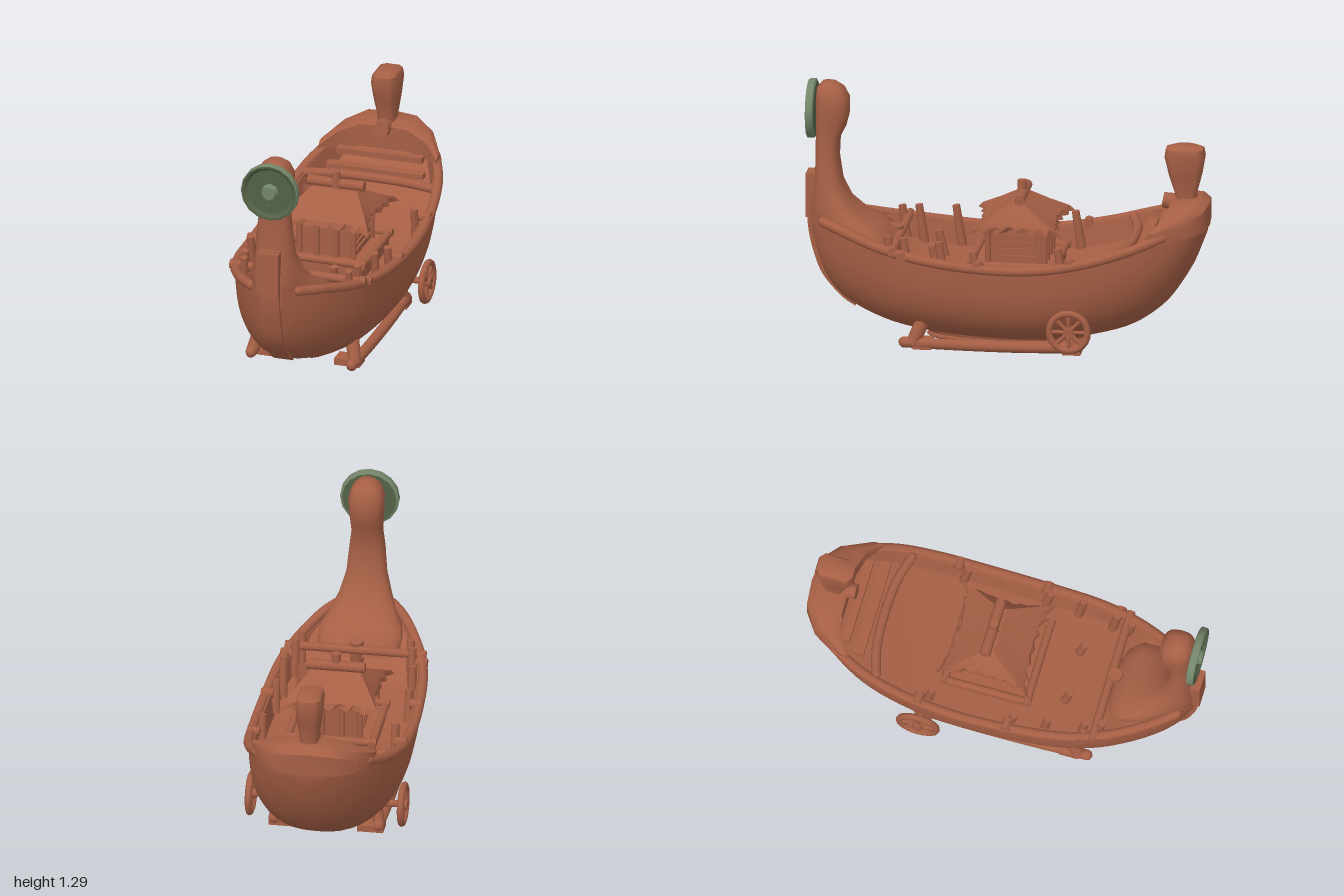
import * as THREE from 'three';
import { toCreasedNormals } from 'three/addons/utils/BufferGeometryUtils.js';

const V = (x, y, z) => new THREE.Vector3(x, y, z);

// Closed solid through equal-length rings of points, capped at both ends
function loft(rings, crease = 0.7) {
  const n = rings[0].length, pos = [], idx = [];
  rings.forEach(r => r.forEach(p => pos.push(p.x, p.y, p.z)));
  for (let i = 0; i < rings.length - 1; i++) for (let j = 0; j < n; j++) {
    const a = i * n + j, b = i * n + (j + 1) % n;
    idx.push(a, b, b + n, a, b + n, a + n);
  }
  [0, rings.length - 1].forEach(e => {
    const c = rings[e].reduce((s, p) => s.add(p), V(0, 0, 0)).divideScalar(n);
    const k = pos.length / 3;
    pos.push(c.x, c.y, c.z);
    for (let j = 0; j < n; j++) {
      const a = e * n + j, b = e * n + (j + 1) % n;
      if (e) idx.push(a, b, k); else idx.push(b, a, k);
    }
  });
  // turn faces outward if the enclosed volume comes out negative
  let vol = 0;
  const at = i => V(pos[3 * i], pos[3 * i + 1], pos[3 * i + 2]);
  for (let i = 0; i < idx.length; i += 3) vol += at(idx[i]).dot(at(idx[i + 1]).cross(at(idx[i + 2])));
  if (vol < 0) idx.reverse();
  const g = new THREE.BufferGeometry();
  g.setAttribute('position', new THREE.Float32BufferAttribute(pos, 3));
  g.setIndex(idx);
  return toCreasedNormals(g, crease);
}

export function createModel() {
  const model = new THREE.Group();
  const material = (name, color) => Object.assign(new THREE.MeshStandardMaterial({ color }), { name });
  const wood = material('wood', 0xa65f45);
  const green = material('darkGreen', 0x546146);
  const rimGreen = material('paleGreen', 0x74866a);

  const add = (name, geo, mat = wood, parent = model) => {
    const m = new THREE.Mesh(geo, mat);
    m.name = name;
    parent.add(m);
    return m;
  };
  const box = (name, w, h, d, x, y, z) => {
    const m = add(name, new THREE.BoxGeometry(w, h, d));
    m.position.set(x, y, z);
    return m;
  };
  // straight log between two points
  const log = (name, a, b, r0, r1 = r0, parent = model, mat = wood) => {
    const d = b.clone().sub(a);
    const m = add(name, new THREE.CylinderGeometry(r1, r0, d.length(), 8), mat, parent);
    m.position.copy(a).add(b).multiplyScalar(0.5);
    m.quaternion.setFromUnitVectors(V(0, 1, 0), d.normalize());
    return m;
  };
  // bent log with closed ends
  const bent = (name, pts, r) => {
    add(name, new THREE.TubeGeometry(new THREE.CatmullRomCurve3(pts), pts.length * 5, r, 8));
    [pts[0], pts[pts.length - 1]].forEach(p =>
      add(name + 'End', new THREE.SphereGeometry(r, 8, 6)).position.copy(p));
  };

  // Hull stations: z, half width, sheer height, keel height
  const stations = [
    [0.965, 0.06, 0.62, 0.48], [0.9, 0.125, 0.6, 0.3], [0.8, 0.2, 0.58, 0.19],
    [0.6, 0.3, 0.53, 0.1], [0.4, 0.355, 0.495, 0.06], [0.1, 0.382, 0.465, 0.035],
    [-0.2, 0.387, 0.47, 0.035], [-0.45, 0.372, 0.515, 0.07], [-0.65, 0.335, 0.575, 0.13],
    [-0.8, 0.275, 0.63, 0.24], [-0.92, 0.2, 0.68, 0.42], [-0.985, 0.12, 0.7, 0.58]];
  const sheer = new THREE.CatmullRomCurve3(stations.map(s => V(s[1], s[2], s[0])));
  const keel = new THREE.CatmullRomCurve3(stations.map(s => V(0, s[3], s[0])));
  const hull = [];
  for (let i = 0; i <= 44; i++) {
    const s = sheer.getPoint(i / 44), k = keel.getPoint(i / 44), ring = [];
    // boxy amidships, sharper towards the ends
    const p = 0.71 + 0.3 * Math.abs(s.z) ** 3;
    for (let j = 0; j <= 24; j++) {
      const a = Math.PI * j / 24, c = Math.cos(a);
      ring.push(V(s.x * Math.sign(c) * Math.abs(c) ** p, s.y - (s.y - k.y) * Math.abs(Math.sin(a)) ** p, s.z));
    }
    // deck well, shallow under the foredeck
    const well = THREE.MathUtils.lerp(0.11, 0.025, THREE.MathUtils.smoothstep(s.z, 0.45, 0.7));
    const deck = s.y - Math.min(well, (s.y - k.y) * 0.3), w = s.x * 0.92;
    ring.push(V(-w, s.y, s.z), V(-w * 0.95, deck, s.z), V(0, deck - 0.01, s.z), V(w * 0.95, deck, s.z), V(w, s.y, s.z));
    hull.push(ring);
  }
  add('hull', loft(hull));

  // Gunwale rails
  for (const s of [1, -1])
    bent('gunwale', stations.slice(1, 10).map(p => V(s * p[1], p[2] - 0.005, p[0])), 0.025);

  // Foredeck sweeping up into the neck and head: y, back z, front z, half width, taper to the front
  const neck = [
    [0.47, 0.54, 0.94, 0.27, 0.75], [0.535, 0.57, 0.965, 0.275, 0.72], [0.57, 0.63, 0.975, 0.255, 0.66],
    [0.61, 0.695, 0.98, 0.205, 0.55], [0.68, 0.77, 0.97, 0.15, 0.35], [0.78, 0.818, 0.955, 0.108, 0.15],
    [0.9, 0.835, 0.95, 0.09, 0], [1.0, 0.83, 0.95, 0.078, 0], [1.06, 0.8, 0.95, 0.08, 0],
    [1.12, 0.785, 0.95, 0.086, 0], [1.2, 0.785, 0.95, 0.088, 0], [1.25, 0.81, 0.945, 0.07, 0], [1.28, 0.85, 0.92, 0.035, 0]];
  add('prowNeck', loft(neck.map(([y, b, f, rx, taper]) => Array.from({ length: 20 }, (_, j) => {
    const a = j / 20 * Math.PI * 2, c = Math.cos(a), s = Math.sin(a);
    const t = 0.5 + 0.5 * Math.sign(s) * Math.abs(s) ** 0.8;
    return V(rx * Math.sign(c) * Math.abs(c) ** 0.7 * (1 - taper * t), y, b + (f - b) * t);
  })), 1.1));

  // Stem band down the bow and its thick upper block
  const band = new THREE.Shape();
  band.moveTo(0.75, 0.15);
  band.splineThru([[0.82, 0.2], [0.913, 0.31], [0.962, 0.44], [0.984, 0.55], [0.988, 0.64]].map(p => new THREE.Vector2(...p)));
  band.lineTo(0.97, 0.82).lineTo(0.9, 0.82).lineTo(0.9, 0.5).lineTo(0.75, 0.25);
  const bandGeo = new THREE.ExtrudeGeometry(band, { depth: 0.1, bevelEnabled: false, curveSegments: 16 });
  bandGeo.rotateY(-Math.PI / 2).translate(0.05, 0, 0);
  add('stemBand', toCreasedNormals(bandGeo, 0.5));
  box('stemBlock', 0.11, 0.22, 0.08, -0.005, 0.705, 0.957);

  // Round disc on the prow
  const disc = new THREE.Group();
  disc.name = 'prowDisc';
  disc.position.set(0, 1.14, 0.968);
  disc.rotation.x = Math.PI / 2;
  model.add(disc);
  const lathe = (name, pts, mat) =>
    add(name, toCreasedNormals(new THREE.LatheGeometry(pts.map(p => new THREE.Vector2(...p)), 16), 0.5), mat, disc);
  lathe('discBack', [[0, -0.02], [0.135, -0.02]], green);
  lathe('discRim', [[0.135, -0.02], [0.147, -0.014], [0.147, 0.016], [0.143, 0.02]], rimGreen);
  lathe('discFace', [[0.143, 0.02], [0.134, 0.02], [0.118, 0.003], [0, 0]], green);
  log('discKnob', V(0, 0, 0), V(0, 0.03, 0), 0.045, 0.034, disc, rimGreen);
  for (let i = 0; i < 5; i++) {
    const a = i * 1.26 + 0.3;
    const lump = add('discLump', new THREE.BoxGeometry(0.03, 0.014, 0.018), green, disc);
    lump.position.set(Math.cos(a) * 0.085, 0.005, Math.sin(a) * 0.085);
    lump.rotation.y = -a;
  }

  // Raised stern cap: x, inner z, outer z, bottom y, top y
  const cap = [[0.305, -0.72, -0.78, 0.595, 0.655], [0.225, -0.785, -0.92, 0.61, 0.715], [0.125, -0.81, -0.99, 0.62, 0.755], [0, -0.81, -1, 0.62, 0.765]];
  const mirrored = [...cap, ...cap.slice(0, 3).reverse().map(c => [-c[0], ...c.slice(1)])];
  add('sternCap', loft(mirrored.map(([x, a, b, y0, y1]) =>
    [V(x, y0, a), V(x, y1 - 0.02, a), V(x, y1, a * 0.7 + b * 0.3), V(x, y1, a * 0.2 + b * 0.8), V(x, y1 - 0.03, b), V(x, y0, b)])));

  // Tail post, flaring to the top: y, back z, front z, half width
  const tail = [[0.7, -0.95, -0.82, 0.045], [0.78, -0.935, -0.83, 0.045], [0.88, -0.96, -0.8, 0.055],
    [0.97, -0.975, -0.78, 0.062], [1.01, -0.968, -0.785, 0.058], [1.025, -0.93, -0.82, 0.04]];
  add('tailPost', loft(tail.map(([y, b, f, w]) => {
    const e = 0.025;
    return [V(-w, y, b + e), V(-w + e, y, b), V(w - e, y, b), V(w, y, b + e), V(w, y, f - e), V(w - e, y, f), V(e - w, y, f), V(-w, y, f - e)];
  }), 0.9));
  log('tailPeg', V(0, 0.73, -0.86), V(0, 0.74, -0.77), 0.045, 0.04);

  // Aft benches and fore crossbeam
  bent('aftBench', [V(-0.32, 0.55, -0.58), V(-0.16, 0.545, -0.62), V(0.16, 0.545, -0.62), V(0.32, 0.55, -0.58)], 0.024);
  box('aftBoard', 0.5, 0.025, 0.05, 0, 0.56, -0.69);
  box('aftBackrest', 0.44, 0.03, 0.04, 0, 0.61, -0.765);
  log('foreBeam', V(-0.35, 0.52, 0.53), V(0.35, 0.52, 0.53), 0.022);
  log('forePost', V(0, 0.43, 0.57), V(0, 0.56, 0.55), 0.035);

  // Paired pegs, wheels, runners and struts
  const pegs = [[0.27, 0.55, 0.58], [0.29, 0.47, 0.58], [0.32, 0.29, 0.575], [0.13, 0.35, 0.5], [0.33, 0.12, 0.535], [0.33, -0.3, 0.565]];
  for (const s of [1, -1]) {
    pegs.forEach(([x, z, top]) => log('deckPeg', V(s * x, 0.37, z - 0.02), V(s * x, top, z + 0.01), 0.024, 0.019));
    [[-0.35, 0.365, 0.5], [0.1, 0.37, 0.475], [0.48, 0.335, 0.5]].forEach(([z, x, y]) =>
      log('railPin', V(s * (x - 0.03), y, z), V(s * (x + 0.03), y, z), 0.025));

    const wheel = new THREE.Group();
    wheel.name = 'wheel';
    wheel.position.set(s * 0.378, 0.155, -0.35);
    wheel.rotation.y = Math.PI / 2;
    model.add(wheel);
    add('rim', new THREE.TorusGeometry(0.095, 0.017, 8, 24), wood, wheel);
    for (let i = 0; i < 4; i++) {
      const a = i * Math.PI / 4, c = Math.cos(a) * 0.09, d = Math.sin(a) * 0.09;
      log('spoke', V(-c, -d, 0), V(c, d, 0), 0.01, 0.01, wheel);
    }
    log('hub', V(0, 0, -0.022), V(0, 0, 0.022), 0.025, 0.025, wheel);
    log('axle', V(s * 0.2, 0.155, -0.35), V(s * 0.378, 0.155, -0.35), 0.018);

    bent('runner', [V(s * 0.26, 0.038, 0.48), V(s * 0.265, 0.034, 0.2), V(s * 0.265, 0.034, -0.1), V(s * 0.26, 0.042, -0.38)], 0.028);
    for (const z of [0.39, -0.35]) box('runnerCrosspiece', 0.13, 0.035, 0.09, s * 0.22, 0.026, z);
    log('runnerStrut', V(s * 0.265, 0.03, 0.44), V(s * 0.22, 0.19, 0.37), 0.032, 0.04);
    log('runnerRearStrut', V(s * 0.26, 0.04, -0.36), V(s * 0.24, 0.15, -0.32), 0.028);
  }

  // Flat keel slab with a raised edge
  const slab = add('keelSlab', new THREE.CylinderGeometry(0.15, 0.13, 0.07, 32));
  slab.scale.z = 2.85;
  slab.position.y = 0.04;
  const edge = add('keelEdge', new THREE.TorusGeometry(0.125, 0.016, 8, 32).rotateX(Math.PI / 2));
  edge.scale.z = 2.85;
  edge.position.y = 0.016;

  // Deck house on a platform
  box('housePlatform', 0.42, 0.08, 0.42, 0, 0.385, -0.05);
  for (const s of [1, -1]) {
    log('platformSideLog', V(s * 0.21, 0.43, -0.28), V(s * 0.21, 0.43, 0.18), 0.02);
    log('platformEndLog', V(-0.23, 0.435, -0.05 + s * 0.21), V(0.23, 0.435, -0.05 + s * 0.21), 0.02);
  }
  box('houseWalls', 0.28, 0.21, 0.28, 0, 0.515, -0.06);
  for (const y of [0.46, 0.495, 0.53, 0.565]) box('wallSlat', 0.3, 0.016, 0.2, 0, y, -0.06);
  for (const x of [-0.14, -0.05, 0.05, 0.14]) for (const s of [1, -1])
    log('housePost', V(x, 0.42, -0.06 + s * 0.14), V(x, 0.615, -0.06 + s * 0.14), 0.015);

  // Thatched roof: square rings with pinched sides and a ragged eave
  const square = [];
  for (let i = 0; i < 48; i++) {
    const f = (i % 12) / 6 - 1;
    square.push([[f, 1], [1, -f], [-f, -1], [-1, f]][Math.floor(i / 12)]);
  }
  const roofRing = (rx, rz, y, pinch, rag) => square.map(([u, v], i) => {
    const k = 1 - rag * (i % 2) * (1 + 0.5 * Math.sin(i * 2.3));
    return V(rx * u * k * (1 - pinch * (1 - v * v)), y + rag * (i % 2) * 0.1, -0.06 + rz * v * k * (1 - pinch * (1 - u * u)));
  });
  add('thatchRoof', loft([
    roofRing(0.2, 0.19, 0.61, 0.1, 0), roofRing(0.25, 0.24, 0.592, 0.17, 0.1), roofRing(0.235, 0.215, 0.622, 0.14, 0.04),
    roofRing(0.18, 0.12, 0.672, 0.08, 0), roofRing(0.12, 0.025, 0.73, 0, 0)], 0.5));
  log('ridgeLog', V(-0.145, 0.748, -0.075), V(0.145, 0.748, -0.075), 0.027);
  log('ridgeFinial', V(0, 0.72, -0.07), V(0, 0.815, -0.07), 0.026, 0.022);

  return model;
}
